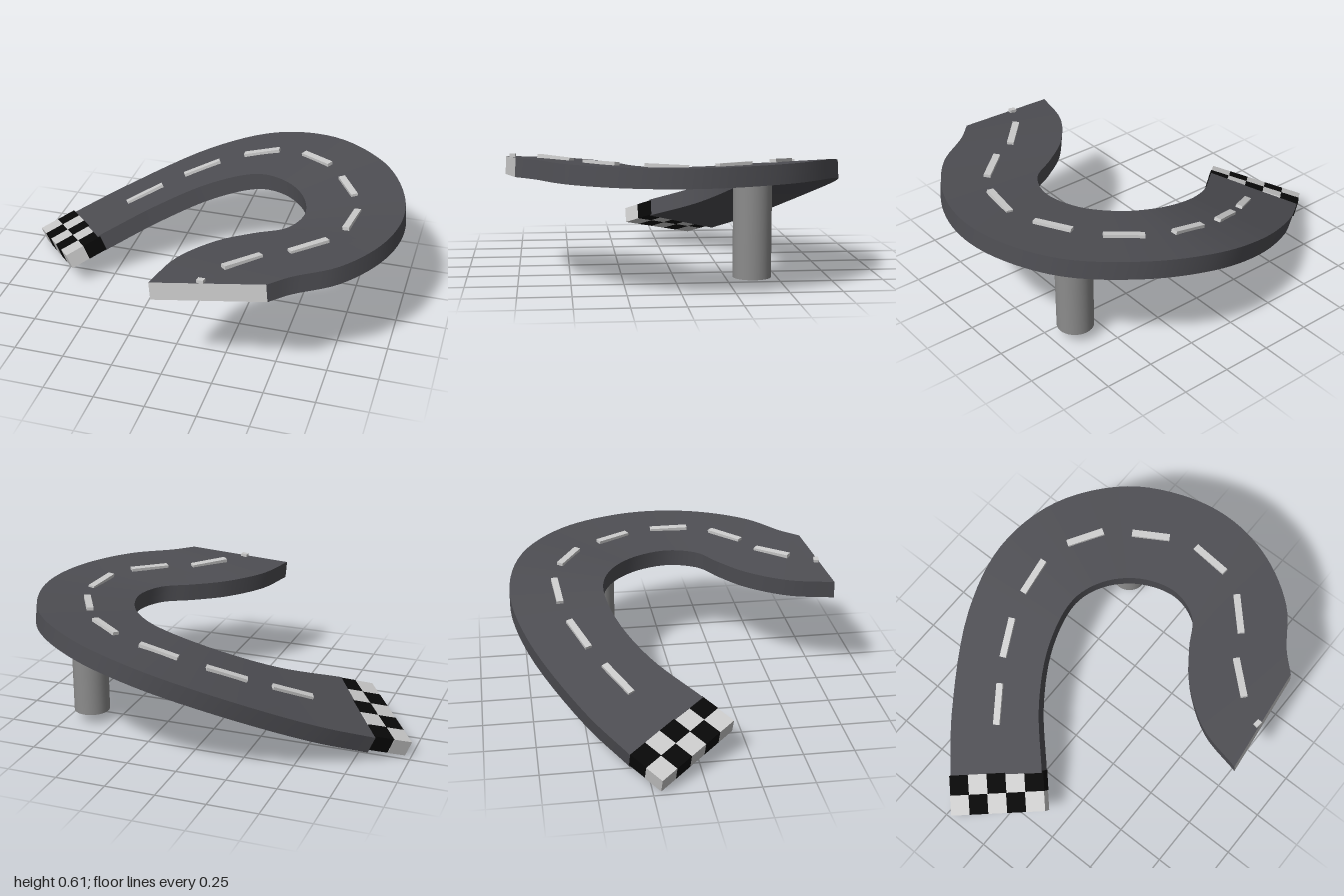
import * as THREE from 'three';
import { mergeGeometries } from 'three/addons/utils/BufferGeometryUtils.js';

const V = (x, y, z) => new THREE.Vector3(x, y, z);
const paint = (color) => new THREE.MeshStandardMaterial({ color });
const THICK = 0.09;

// Smooth strip of quads between two rows of points
function ribbon(a, b) {
  const pos = [], index = [];
  a.forEach((p, i) => {
    pos.push(...p.toArray(), ...b[i].toArray());
    if (i < a.length - 1) {
      const k = i * 2;
      index.push(k, k + 1, k + 2, k + 1, k + 3, k + 2);
    }
  });
  const g = new THREE.BufferGeometry();
  g.setAttribute('position', new THREE.Float32BufferAttribute(pos, 3));
  g.setIndex(index);
  g.computeVertexNormals();
  return g;
}

function addMesh(group, name, geometry, material) {
  const mesh = new THREE.Mesh(geometry, material);
  mesh.name = name;
  group.add(mesh);
  return mesh;
}

// Top edges of the climbing, banked road
const outerPts = [
  [-0.85, 0.13, -0.335], [-0.61, 0.235, -0.52], [-0.18, 0.42, -0.755], [0.17, 0.53, -0.825],
  [0.51, 0.59, -0.745], [0.81, 0.607, -0.51], [0.96, 0.61, -0.21], [0.99, 0.61, 0.04],
  [0.93, 0.61, 0.29], [0.78, 0.61, 0.52], [0.59, 0.61, 0.66], [0.5, 0.61, 0.75],
];
const innerPts = [
  [-0.57, 0.25, 0.045], [-0.32, 0.35, -0.175], [-0.07, 0.45, -0.31], [0.17, 0.525, -0.35],
  [0.33, 0.548, -0.29], [0.46, 0.556, -0.155], [0.515, 0.56, 0.03], [0.46, 0.56, 0.18],
  [0.32, 0.56, 0.27], [0.17, 0.56, 0.385], [0.03, 0.56, 0.58], [-0.03, 0.56, 0.81],
];

function buildRoad(group) {
  const edge = (pts) => new THREE.CatmullRomCurve3(pts.map((p) => V(...p))).getPoints(66);
  const outer = edge(outerPts), inner = edge(innerPts);
  const last = outer.length - 1;
  const outerLow = [], innerLow = [];
  outer.forEach((o, i) => {
    const i0 = Math.max(i - 1, 0), i1 = Math.min(i + 1, last);
    const along = outer[i1].clone().add(inner[i1]).sub(outer[i0]).sub(inner[i0]);
    const down = inner[i].clone().sub(o).cross(along).setLength(-THICK);
    outerLow.push(o.clone().add(down));
    innerLow.push(inner[i].clone().add(down));
  });
  const road = addMesh(group, 'road', mergeGeometries([
    ribbon(outer, inner), ribbon(inner, innerLow),
    ribbon(innerLow, outerLow), ribbon(outerLow, outer),
    ribbon([outerLow[0], outer[0]], [innerLow[0], inner[0]]),
  ]), paint(0x4e4e53));
  addMesh(group, 'roadEndFace',
    ribbon([outer[last], outerLow[last]], [inner[last], innerLow[last]]), paint(0xcccccc));
  return road;
}

// Lane dashes as [x1, z1, x2, z2], dropped onto the road surface
const dashes = [
  [-0.52, -0.29, -0.355, -0.4], [-0.25, -0.465, -0.075, -0.545], [0.053, -0.578, 0.24, -0.594],
  [0.38, -0.555, 0.54, -0.45], [0.625, -0.33, 0.722, -0.165], [0.765, -0.03, 0.743, 0.17],
  [0.68, 0.29, 0.53, 0.43], [0.41, 0.49, 0.272, 0.64], [0.207, 0.758, 0.204, 0.783],
];

function buildDashes(group, road) {
  const material = paint(0xcccccc);
  road.updateMatrixWorld();
  const ray = new THREE.Raycaster();
  for (const [x1, z1, x2, z2] of dashes) {
    ray.set(V((x1 + x2) / 2, 2, (z1 + z2) / 2), V(0, -1, 0));
    const hit = ray.intersectObject(road)[0];
    if (!hit) continue;
    const n = hit.face.normal;
    const dir = V(x2 - x1, 0, z2 - z1);
    dir.y = -(n.x * dir.x + n.z * dir.z) / n.y;
    const dash = addMesh(group, 'laneDash', new THREE.BoxGeometry(0.034, 0.024, dir.length()), material);
    dash.position.copy(hit.point).addScaledVector(n, 0.003);
    dash.up.copy(n);
    dash.lookAt(dash.position.clone().add(dir));
  }
}

// Two rows of five checker blocks at the foot of the ramp
function buildChecker(group) {
  const checker = new THREE.Group();
  checker.name = 'checkerStrip';
  const corner = V(-1, 0.075, -0.21);
  const across = V(0.3, 0.11, 0.38), along = V(0.145, 0.064, -0.127);
  const w = across.length() / 5, d = along.length() / 2;
  const u = across.clone().normalize();
  const n = across.clone().cross(along).normalize();
  const v = u.clone().cross(n);
  const light = paint(0xcccccc), dark = paint(0x080808);
  const geometry = new THREE.BoxGeometry(w, 0.08, d);
  for (let row = 0; row < 2; row++) {
    for (let col = 0; col < 5; col++) {
      const isDark = (row + col) % 2 === 1;
      const block = addMesh(checker, isDark ? 'darkBlock' : 'lightBlock', geometry, isDark ? dark : light);
      block.quaternion.setFromRotationMatrix(new THREE.Matrix4().makeBasis(u, n, v));
      block.position.copy(corner)
        .addScaledVector(across, (col + 0.5) / 5)
        .addScaledVector(along, (row + 0.5) / 2)
        .addScaledVector(n, -0.04);
    }
  }
  group.add(checker);
}

export function createModel() {
  const group = new THREE.Group();
  group.name = 'rampRoad';
  const road = buildRoad(group);
  buildDashes(group, road);
  buildChecker(group);

  // Support pillar under the bend
  const pillar = addMesh(group, 'pillar', new THREE.CylinderGeometry(0.09, 0.09, 0.455, 32), paint(0x8c8c8c));
  pillar.position.set(0.63, 0.2825, -0.34);
  return group;
}
